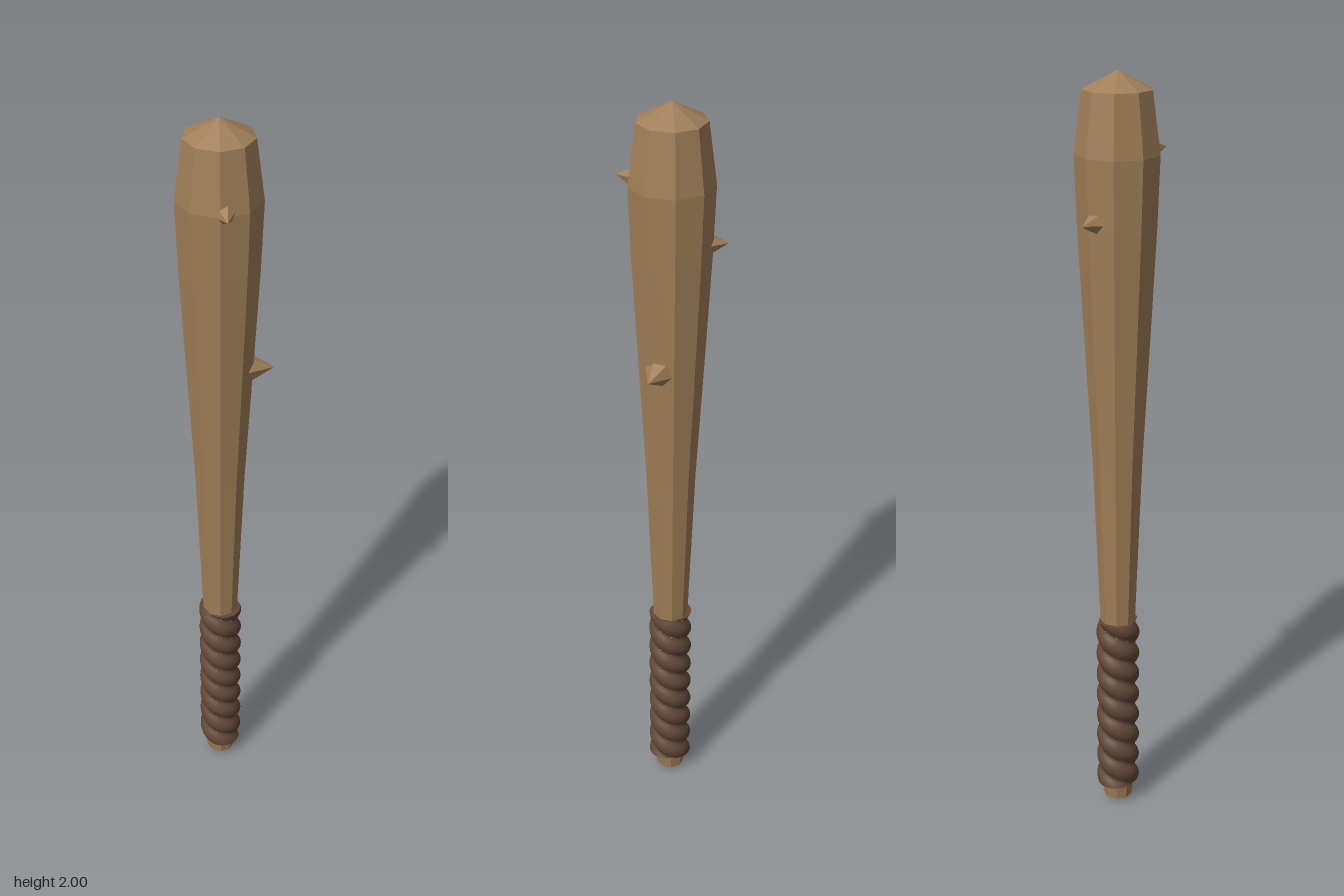
import * as THREE from 'three';

const wood = new THREE.MeshStandardMaterial({ color: 0xa07f58, flatShading: true });
const leather = new THREE.MeshStandardMaterial({ color: 0x624838 });

// Nine-sided club, from the butt to the pointed crown
function makeShaft() {
  const profile = [
    [0, 0], [0.038, 0.012], [0.043, 0.05], [0.047, 0.55], [0.065, 1.0],
    [0.088, 1.4], [0.1, 1.62], [0.107, 1.8], [0.087, 1.955], [0, 2],
  ].map(([r, y]) => new THREE.Vector2(r, y));
  const shaft = new THREE.Mesh(new THREE.LatheGeometry(profile, 9, Math.PI / 2), wood);
  shaft.name = 'shaft';
  return shaft;
}

// Two-start spiral binding: a cylinder whose radius swells along the spiral,
// thin enough in the grooves for the shaft's edges to show through
function makeGrip() {
  const bottom = 0.055, top = 0.55, spacing = 0.0625;
  const geo = new THREE.CylinderGeometry(1, 1, top - bottom, 36, 112);
  geo.translate(0, (top + bottom) / 2, 0);
  const pos = geo.attributes.position;
  for (let i = 0; i < pos.count; i++) {
    const x = pos.getX(i), y = pos.getY(i), z = pos.getZ(i);
    const turn = Math.atan2(x, z);
    const swell = Math.abs(Math.sin((Math.PI * (y - 0.1)) / spacing + turn));
    const r = 0.0435 + 0.0145 * Math.pow(swell, 0.8);
    pos.setXYZ(i, x * r, y, z * r);
  }
  geo.computeVertexNormals();
  const grip = new THREE.Mesh(geo, leather);
  grip.name = 'gripWrap';
  return grip;
}

// Short six-sided spike pointing outwards, given its tip relative to the axis
function makeSpike(name, x, y, z, radius) {
  const length = 0.065;
  const geo = new THREE.ConeGeometry(radius, length, 6);
  geo.translate(0, -length / 2, 0); // tip at the origin
  const spike = new THREE.Mesh(geo, wood);
  spike.position.set(x, y, z);
  spike.quaternion.setFromUnitVectors(
    new THREE.Vector3(0, 1, 0), new THREE.Vector3(x, 0, z).normalize());
  spike.name = name;
  return spike;
}

export function createModel() {
  const club = new THREE.Group();
  club.name = 'club';
  club.add(
    makeShaft(),
    makeGrip(),
    makeSpike('frontSpike', 0.04, 1.805, 0.135, 0.036),
    makeSpike('leftSpike', 0.134, 1.33, -0.025, 0.038),
    makeSpike('backSpike', -0.083, 1.645, -0.11, 0.038),
  );
  // The spikes make the outline lopsided, so the axis sits off centre
  club.position.set(-0.017, 0, -0.015);
  const model = new THREE.Group();
  model.add(club);
  return model;
}
